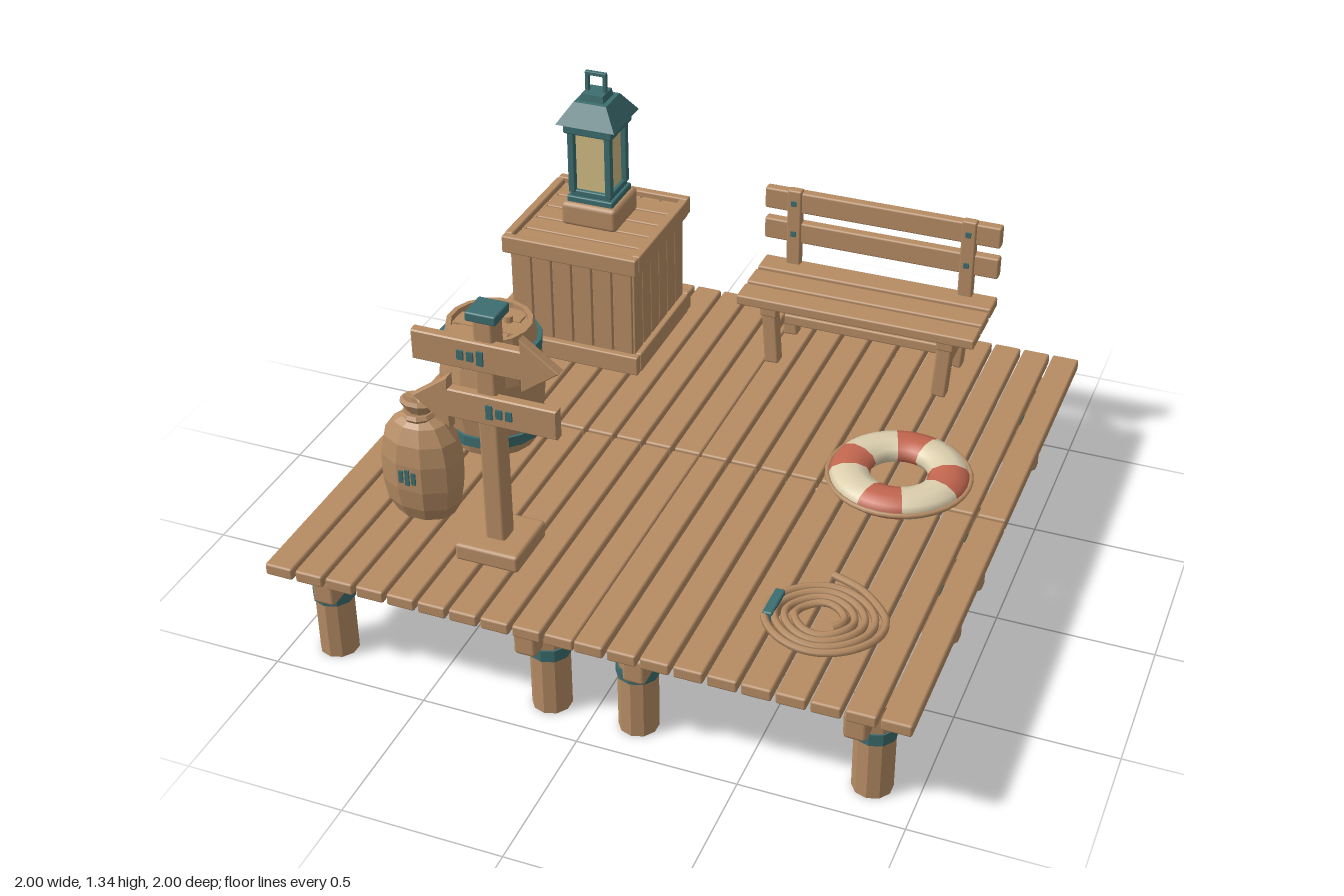
import * as THREE from 'three';
import { RoundedBoxGeometry } from 'three/addons/geometries/RoundedBoxGeometry.js';

export function createModel() {
  const mat = (name, color) => {
    const m = new THREE.MeshStandardMaterial({ color });
    m.name = name;
    return m;
  };
  const wood = mat('wood', 0xb68c64);
  const teal = mat('teal metal', 0x3d6e70);
  const cream = mat('cream', 0xdccfae);
  const red = mat('red', 0xc2664f);
  const glass = mat('lantern glass', 0xd2bd85);

  const root = new THREE.Group();
  root.name = 'dock';
  const group = (name, x = 0, y = 0, z = 0) => {
    const g = new THREE.Group();
    g.name = name;
    g.position.set(x, y, z);
    root.add(g);
    return g;
  };
  const add = (parent, name, geo, m, x = 0, y = 0, z = 0) => {
    const mesh = new THREE.Mesh(geo, m);
    mesh.name = name;
    mesh.position.set(x, y, z);
    parent.add(mesh);
    return mesh;
  };
  // Softly chamfered board, and a plain thin plate
  const board = (p, name, w, h, d, x, y, z, m = wood) =>
    add(p, name, new RoundedBoxGeometry(w, h, d, 1, Math.min(w, h, d) * 0.18), m, x, y, z);
  const plate = (p, name, w, h, d, x, y, z, m = teal) =>
    add(p, name, new THREE.BoxGeometry(w, h, d), m, x, y, z);
  // Faceted normals
  const flat = (geo) => {
    const g = geo.toNonIndexed();
    g.computeVertexNormals();
    return g;
  };
  const cyl = (rt, rb, h, n) => flat(new THREE.CylinderGeometry(rt, rb, h, n));
  const lathe = (pts, n) =>
    flat(new THREE.LatheGeometry(pts.map((p) => new THREE.Vector2(...p)), n, Math.PI / n));
  const square = (top, bottom, h) =>
    flat(new THREE.CylinderGeometry(top * Math.SQRT2, bottom * Math.SQRT2, h, 4).rotateY(Math.PI / 4));

  // Four deck sections: planks, beams, posts with bands
  const deck = group('deck');
  for (const sx of [-1, 1]) {
    for (const sz of [-1, 1]) {
      for (let i = 0; i < 10; i++)
        board(deck, 'plank', 0.09, 0.04, 0.995, sx * (0.046 + i * 0.101), 0.355, sz * 0.5025);
      for (const x of [0.17, 0.83])
        board(deck, 'beam', 0.072, 0.09, 0.935, sx * x, 0.29, sz * 0.5025);
      for (const x of [0.14, 0.86])
        for (const z of [0.14, 0.86]) {
          add(deck, 'post', cyl(0.061, 0.061, 0.335, 10), wood, sx * x, 0.1675, sz * z);
          add(deck, 'postBand', cyl(0.066, 0.066, 0.04, 10), teal, sx * x, 0.22, sz * z);
        }
    }
  }

  // Crate
  const crate = group('crate', -0.605, 0.375, -0.6);
  plate(crate, 'crateCore', 0.42, 0.39, 0.42, 0, 0.205, 0, wood);
  for (let s = 0; s < 4; s++) {
    const side = new THREE.Group();
    side.name = 'crateSide';
    side.rotation.y = (s * Math.PI) / 2;
    crate.add(side);
    for (let i = 0; i < 6; i++)
      board(side, 'crateSlat', 0.068, 0.42, 0.02, (i - 2.5) * 0.073, 0.215, 0.215);
    const len = s % 2 ? 0.43 : 0.485;
    const out = s % 2 ? 0.23 : 0.232;
    board(side, 'topRail', len, 0.062, 0.03, 0, 0.414, out);
    board(side, 'bottomRail', len, 0.07, 0.03, 0, 0.037, out);
  }
  for (let i = 0; i < 5; i++)
    board(crate, 'lidBoard', 0.43, 0.025, 0.08, 0, 0.412, (i - 2) * 0.086);

  // Lantern
  const lantern = group('lantern', -0.604, 0, -0.62);
  board(lantern, 'lanternPlinth', 0.2, 0.085, 0.2, 0, 0.85, 0);
  board(lantern, 'lanternBase', 0.165, 0.025, 0.165, 0, 0.9, 0, teal);
  board(lantern, 'lanternFoot', 0.145, 0.022, 0.145, 0, 0.922, 0, teal);
  plate(lantern, 'lanternGlass', 0.118, 0.23, 0.118, 0, 1.04, 0, glass);
  for (const x of [-1, 1])
    for (const z of [-1, 1])
      board(lantern, 'lanternPost', 0.024, 0.23, 0.024, x * 0.066, 1.04, z * 0.066, teal);
  board(lantern, 'lanternCollar', 0.175, 0.034, 0.175, 0, 1.16, 0, teal);
  add(lantern, 'lanternRoof', square(0.058, 0.105, 0.07), teal, 0, 1.215, 0);
  add(lantern, 'lanternCap', square(0.038, 0.042, 0.024), teal, 0, 1.262, 0);
  for (const s of [-1, 1]) board(lantern, 'handleSide', 0.013, 0.07, 0.016, s * 0.031, 1.304, 0, teal);
  board(lantern, 'handleTop', 0.075, 0.013, 0.016, 0, 1.335, 0, teal);

  // Barrel
  const barrel = group('barrel', -0.66, 0.375, 0.123);
  add(barrel, 'staves', lathe([[0, 0.002], [0.135, 0.002], [0.153, 0.07], [0.167, 0.16], [0.169, 0.215],
    [0.167, 0.27], [0.153, 0.36], [0.138, 0.428], [0.122, 0.428], [0.122, 0.408], [0, 0.408]], 16), wood);
  for (const y of [0.065, 0.357])
    add(barrel, 'hoop', lathe([[0.15, y - 0.018], [0.165, y - 0.018], [0.165, y + 0.018], [0.15, y + 0.018]], 16), teal);
  for (let i = 0; i < 3; i++)
    plate(barrel, 'barrelLidBoard', i === 1 ? 0.225 : 0.17, 0.008, 0.068, 0, 0.411, (i - 1) * 0.072, wood);
  add(barrel, 'bung', cyl(0.014, 0.016, 0.03, 8), wood, 0.05, 0.42, -0.033);

  // Sack with a tied neck and painted bars
  const sack = group('sack', -0.682, 0.375, 0.57);
  const sackGeo = lathe([[0, 0.002], [0.095, 0.002], [0.122, 0.05], [0.135, 0.12], [0.135, 0.21], [0.12, 0.275],
    [0.085, 0.325], [0.042, 0.347], [0.04, 0.36], [0.06, 0.392], [0.05, 0.404], [0.02, 0.395], [0, 0.385]], 10);
  sackGeo.scale(1, 1, 0.72);
  sackGeo.computeVertexNormals();
  add(sack, 'sackBody', sackGeo, wood);
  add(sack, 'sackTie', flat(new THREE.TorusGeometry(0.043, 0.012, 5, 10).rotateX(Math.PI / 2)), wood, 0, 0.35, 0);
  for (let i = -1; i < 2; i++)
    plate(sack, 'sackMark', 0.014, i ? 0.042 : 0.055, 0.008, i * 0.021 - 0.005, 0.17, 0.093);

  // Signpost with two arrow boards
  const sign = group('signpost', -0.378, 0, 0.675);
  board(sign, 'signBase', 0.205, 0.058, 0.205, 0, 0.405, 0);
  board(sign, 'signPole', 0.066, 0.78, 0.072, 0, 0.81, 0.002);
  board(sign, 'signCap', 0.096, 0.03, 0.096, 0, 1.2, 0, teal);
  const arrow = new THREE.Shape([[-0.23, -0.048], [0.11, -0.048], [0.11, -0.088], [0.23, 0],
    [0.11, 0.088], [0.11, 0.048], [-0.23, 0.048]].map((p) => new THREE.Vector2(...p)));
  const arrowGeo = new THREE.ExtrudeGeometry(arrow, {
    depth: 0.026, bevelEnabled: true, bevelThickness: 0.004, bevelSize: 0.004, bevelOffset: -0.004, bevelSegments: 1,
  }).translate(0, 0, -0.013);
  for (const [dir, y, x, markX] of [[1, 1.073, 0.008, -0.035], [-1, 0.897, -0.005, 0.046]]) {
    const a = add(sign, 'arrowBoard', arrowGeo, wood, x, y, 0.034);
    a.rotation.y = dir < 0 ? Math.PI : 0;
    for (let i = -1; i < 2; i++)
      plate(sign, 'arrowMark', 0.02, i === dir ? 0.046 : 0.03, 0.008, markX + i * 0.031, y, 0.053);
  }

  // Bench
  const bench = group('bench', 0.32, 0, 0);
  for (const z of [-0.612, -0.717, -0.825])
    board(bench, 'seatBoard', 0.82, 0.036, 0.092, 0, 0.618, z);
  for (const y of [0.868, 0.753]) board(bench, 'backBoard', 0.82, 0.076, 0.038, 0, y, -0.862);
  for (const s of [-1, 1]) {
    board(bench, 'backUpright', 0.05, 0.36, 0.034, s * 0.303, 0.735, -0.852);
    for (const y of [0.868, 0.753]) plate(bench, 'bolt', 0.018, 0.018, 0.008, s * 0.303, y, -0.833);
    for (const z of [-0.622, -0.82]) {
      const leg = board(bench, 'benchLeg', 0.052, 0.225, 0.048, s * 0.3, 0.487, z);
      leg.rotation.z = -s * 0.07;
    }
    board(bench, 'seatBearer', 0.06, 0.04, 0.25, s * 0.306, 0.575, -0.72);
    board(bench, 'sideStretcher', 0.035, 0.04, 0.2, s * 0.3, 0.495, -0.72);
  }
  board(bench, 'longStretcher', 0.58, 0.038, 0.035, 0, 0.492, -0.72);

  // Life ring: red and cream arcs with a grab line
  const ring = group('lifeRing', 0.64, 0.42, -0.063);
  const deg = Math.PI / 180;
  const arc = (name, start, span, m) =>
    add(ring, name, new THREE.TorusGeometry(0.155, 0.066, 10, 6, span * deg)
      .rotateZ(start * deg).rotateX(Math.PI / 2).scale(1, 0.6, 1), m);
  for (let i = 0; i < 4; i++) {
    arc('redBand', i * 90 - 19, 38, red);
    arc('creamBand', i * 90 + 19, 52, cream);
  }
  add(ring, 'grabLine', new THREE.TorusGeometry(0.224, 0.008, 6, 32).rotateX(Math.PI / 2), wood);

  // Coiled rope with a loose tail and a clasp
  const rope = group('ropeCoil', 0.63, 0.39, 0.66);
  const pts = [];
  const turns = 4.2;
  for (let i = 0; i <= 84; i++) {
    const t = i / 84;
    const a = t * turns * Math.PI * 2 - 0.45;
    const r = 0.185 - 0.125 * t;
    pts.push(new THREE.Vector3(Math.cos(a) * r, 0.004 * Math.sin(a * 3), Math.sin(a) * r * 0.87));
  }
  pts.unshift(new THREE.Vector3(-0.03, 0, -0.2), new THREE.Vector3(0.07, 0, -0.16));
  add(rope, 'rope', new THREE.TubeGeometry(new THREE.CatmullRomCurve3(pts), 200, 0.012, 6), wood);
  board(rope, 'ropeClasp', 0.032, 0.034, 0.12, -0.147, 0.003, 0, teal);

  return root;
}
